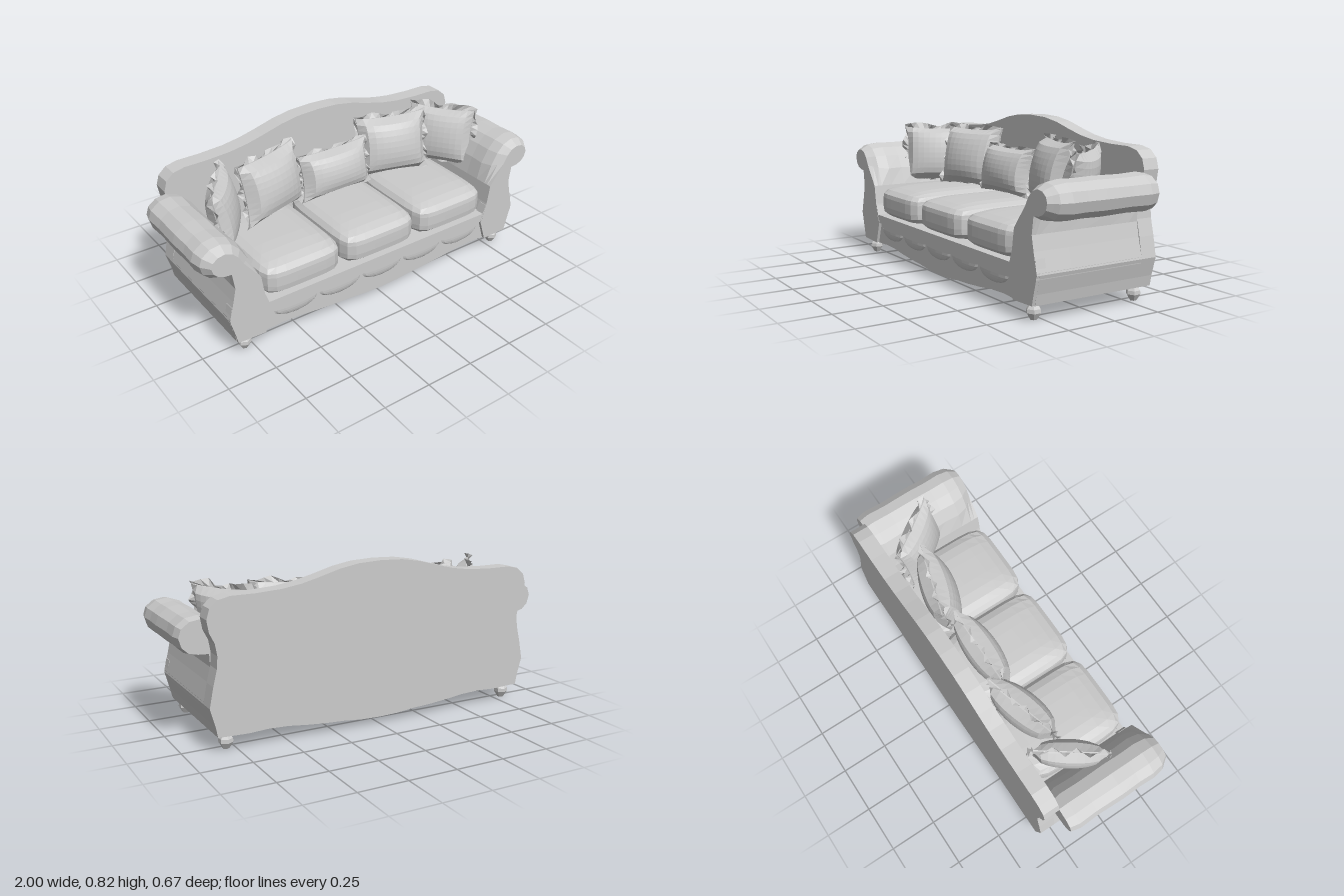
import * as THREE from 'three';

const material = new THREE.MeshStandardMaterial({ color: 0xcccccc, flatShading: true, side: THREE.DoubleSide });

function add(parent, name, geometry, x = 0, y = 0, z = 0) {
  const mesh = new THREE.Mesh(geometry, material);
  mesh.name = name;
  mesh.position.set(x, y, z);
  parent.add(mesh);
  return mesh;
}

// Move every vertex of a geometry by a rule
function warp(geometry, rule) {
  const p = geometry.attributes.position;
  const v = new THREE.Vector3();
  for (let i = 0; i < p.count; i++) {
    rule(v.fromBufferAttribute(p, i));
    p.setXYZ(i, v.x, v.y, v.z);
  }
  geometry.computeVertexNormals();
  return geometry;
}

// Symmetric panel from the right half of its outline, listed bottom to top
function panel(half, z0, z1) {
  const pts = half.map(([x, y]) => new THREE.Vector2(x, y));
  const mirrored = half.filter(([x]) => x > 0).map(([x, y]) => new THREE.Vector2(-x, y)).reverse();
  const shape = new THREE.Shape([...pts, ...mirrored]);
  return new THREE.ExtrudeGeometry(shape, { depth: z1 - z0, bevelEnabled: false }).translate(0, 0, z0);
}

// Wavy underside and flared lower sides shared by base and back
const lower = [[0, 0.035], [0.1, 0.038], [0.2, 0.048], [0.3, 0.053], [0.4, 0.062], [0.5, 0.074], [0.6, 0.078],
  [0.7, 0.073], [0.85, 0.078], [0.86, 0.13], [0.885, 0.22]];

const backTop = [[0.865, 0.32], [0.845, 0.4], [0.84, 0.46], [0.85, 0.52], [0.875, 0.57], [0.885, 0.63],
  [0.87, 0.68], [0.83, 0.715], [0.77, 0.728], [0.65, 0.728], [0.52, 0.735], [0.42, 0.75], [0.33, 0.772],
  [0.22, 0.802], [0.12, 0.819], [0, 0.824]];

// Arm profile: inner slope, rolled top, then the outer side
const armProfile = [[0.67, 0.2], [0.695, 0.3], [0.71, 0.4], [0.735, 0.49], [0.775, 0.56], [0.82, 0.605],
  [0.88, 0.627], [0.94, 0.618], [0.985, 0.585], [1, 0.54], [0.985, 0.49], [0.95, 0.458], [0.9, 0.448],
  [0.845, 0.445], [0.845, 0.39], [0.86, 0.32], [0.883, 0.23], [0.88, 0.2]];

// Roll fullness at each depth, rear to front
const armStations = [[-0.25, 0.9], [-0.2, 1], [-0.1, 0.96], [0.05, 1], [0.15, 0.97], [0.23, 1], [0.29, 0.9], [0.312, 0.75], [0.335, 0.6]];

function armGeometry(side) {
  const shape = new THREE.Shape(armProfile.map(([x, y]) => new THREE.Vector2(x * side, y)));
  const steps = armStations.length - 1;
  const geometry = new THREE.ExtrudeGeometry(shape, { depth: 1, steps, bevelEnabled: false });
  return warp(geometry, (v) => {
    const [z, scale] = armStations[Math.round(v.z * steps)];
    const amount = THREE.MathUtils.clamp((v.y - 0.4) / 0.06, 0, 1);
    const s = 1 + (scale - 1) * amount;
    v.x = 0.885 * side + (v.x - 0.885 * side) * s;
    v.y = 0.54 + (v.y - 0.54) * s;
    v.z = z;
  });
}

// Seat cushion: a cube rounded to a soft block with a crowned top
function cushionGeometry(w, h, d) {
  return warp(new THREE.BoxGeometry(2, 2, 2, 8, 6, 8), (v) => {
    const p = 6;
    const norm = (Math.abs(v.x) ** p + Math.abs(v.y) ** p + Math.abs(v.z) ** p) ** (1 / p);
    v.multiplyScalar(1 / norm);
    const crown = v.y > 0 ? 0.72 + 0.28 * (1 - v.x ** 4) * (1 - Math.max(0, v.z) ** 3) : 1;
    v.set(v.x * w / 2, v.y * crown * h / 2, v.z * d / 2);
  });
}

// Scatter pillow with pointed corners, inward-curved edges and a ruffled border
function pillow(parent, name, w, h, t, x, y, z, turn, ruffle) {
  const group = new THREE.Group();
  group.name = name;
  const outline = (v) => {
    const { x: u, y: k } = v;
    v.x = u * (1 - 0.07 * (1 - k * k)) * w / 2;
    v.y = k * (1 - 0.07 * (1 - u * u)) * h / 2;
  };
  const body = warp(new THREE.BoxGeometry(2, 2, 2, 10, 10, 1), (v) => {
    const full = Math.max(0, (1 - v.x ** 2) * (1 - v.y ** 2)) ** 0.4;
    v.z *= 0.006 + full * t / 2;
    outline(v);
  });
  add(group, 'pillowBody', body);
  const border = warp(new THREE.RingGeometry(1, 2, 48, 1), (v) => {
    const angle = Math.atan2(v.y, v.x);
    const outer = v.length() > 1.5;
    const c = Math.cos(angle), s = Math.sin(angle);
    const m = Math.max(Math.abs(c), Math.abs(s));
    v.set(c / m, s / m, 0);
    outline(v);
    if (outer) {
      const reach = ruffle * (0.7 + 0.3 * Math.sin(angle * 7));
      v.x += c * reach;
      v.y += Math.max(s, -0.2) * reach;
      v.z = 0.022 * Math.sin(angle * 12);
    }
  });
  add(group, 'ruffle', border);
  group.position.set(x, y, z);
  group.rotation.set(-0.2, turn, 0, 'YXZ');
  parent.add(group);
}

export function createModel() {
  const sofa = new THREE.Group();
  sofa.name = 'sofa';

  // Frame
  add(sofa, 'base', panel([...lower, [0.88, 0.24], [0, 0.24]], -0.33, 0.318));
  add(sofa, 'backPanel', panel([...lower, ...backTop], -0.335, -0.25));
  add(sofa, 'frontRail', new THREE.BoxGeometry(1.4, 0.045, 0.03), 0, 0.218, 0.318);

  // Draped swags along the front
  for (const x of [-0.52, -0.26, 0, 0.26, 0.52]) {
    const swag = new THREE.SphereGeometry(1, 12, 6, 0, Math.PI * 2, Math.PI / 2, Math.PI / 2);
    add(sofa, 'swag', swag.scale(0.125, 0.05, 0.018), x, 0.165, 0.317);
  }

  for (const side of [-1, 1]) {
    add(sofa, side > 0 ? 'leftArm' : 'rightArm', armGeometry(side));

    // Front end of the arm running down to the floor edge
    const post = new THREE.Shape([[0.7, 0.075], [0.848, 0.08], [0.86, 0.13], [0.884, 0.22], [0.87, 0.29], [0.69, 0.29], [0.66, 0.2]]
      .map(([x, y]) => new THREE.Vector2(x * side, y)));
    add(sofa, 'armFront', new THREE.ExtrudeGeometry(post, { depth: 0.05, bevelEnabled: false }), 0, 0, 0.284);

    // Faceted feet
    for (const z of [-0.283, 0.287]) {
      const profile = [[0, 0], [0.016, 0.002], [0.036, 0.034], [0.034, 0.052], [0.02, 0.07], [0.02, 0.09]];
      const foot = new THREE.LatheGeometry(profile.map(([r, y]) => new THREE.Vector2(r, y)), 6);
      add(sofa, 'foot', foot, side * 0.795, 0, z);
    }

    // Side and corner pillows
    pillow(sofa, 'backPillow', 0.39, 0.32, 0.17, side * 0.38, 0.575, -0.11, -side * 0.28, 0.03);
    pillow(sofa, 'cornerPillow', 0.35, 0.31, 0.13, side * 0.68, 0.565, -0.05, -side * 0.95, 0.04);
  }
  pillow(sofa, 'centrePillow', 0.42, 0.245, 0.16, 0, 0.54, -0.1, 0, 0.02);

  // Seat cushions
  for (const x of [-0.458, 0, 0.458]) {
    add(sofa, 'seatCushion', cushionGeometry(0.45, 0.18, 0.56), x, 0.327, 0.05);
  }
  return sofa;
}
